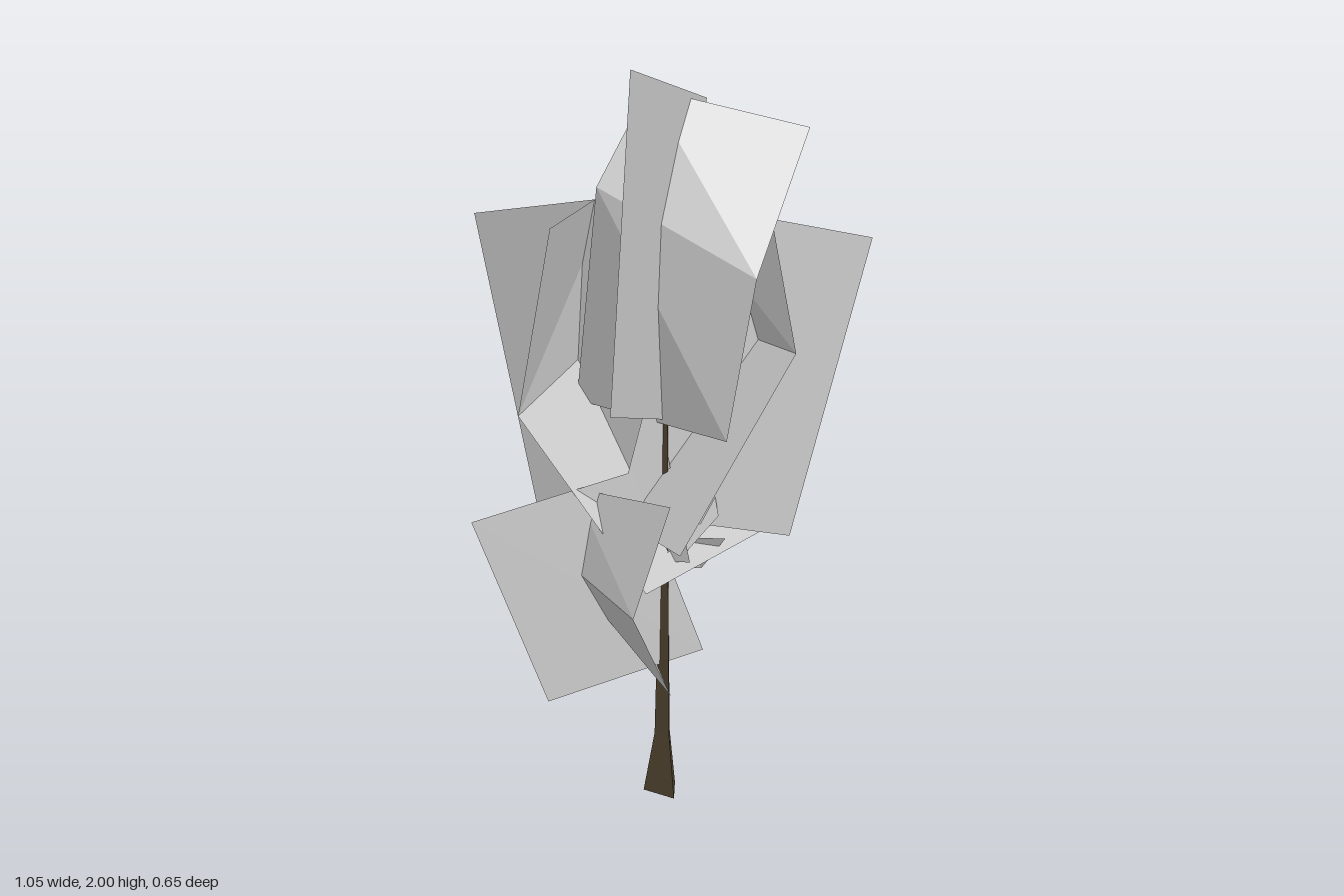
import * as THREE from 'three';

const leafMaterial = new THREE.MeshStandardMaterial({ color: 0xcccccc, flatShading: true, side: THREE.DoubleSide });
const barkMaterial = new THREE.MeshStandardMaterial({ color: 0x4d412f, flatShading: true });

// Strip of paired points (left, right) from top to bottom, joined by quads
function leafCard(name, rows) {
  const index = [];
  for (let i = 0; i < rows.length - 1; i++) {
    const a = i * 2;
    index.push(a, a + 2, a + 3, a, a + 3, a + 1);
  }
  const geometry = new THREE.BufferGeometry();
  geometry.setAttribute('position', new THREE.Float32BufferAttribute(rows.flat(2), 3));
  geometry.setIndex(index);
  geometry.computeVertexNormals();
  const mesh = new THREE.Mesh(geometry, leafMaterial);
  mesh.name = name;
  return mesh;
}

export function createModel() {
  const tree = new THREE.Group();
  tree.name = 'tree';

  // Flared, tapering three-sided trunk with one edge towards the front left
  const profile = [[0, 0], [0.055, 0], [0.026, 0.17], [0.017, 0.6], [0.01, 1.05], [0, 1.05]];
  const trunk = new THREE.Mesh(
    new THREE.LatheGeometry(profile.map(([r, y]) => new THREE.Vector2(r, y)), 3, Math.PI / 4),
    barkMaterial
  );
  trunk.name = 'trunk';
  trunk.position.x = 0.075;
  tree.add(trunk);

  // Flat upright foliage cards, their planes passing through the trunk
  tree.add(
    leafCard('flatLeafRight', [
      [[-0.53, 1.48, -0.25], [-0.08, 1.6, -0.065]],
      [[-0.3, 0.56, -0.155], [0.15, 0.68, 0.03]],
    ]),
    leafCard('flatLeafLeft', [
      [[0.14, 1.6, -0.047], [0.525, 1.48, -0.32]],
      [[-0.03, 0.81, 0.074], [0.355, 0.69, -0.2]],
    ]),
    leafCard('flatLeafLow', [
      [[-0.335, 0.84, 0.315], [0.005, 0.92, 0.053]],
      [[-0.18, 0.315, 0.196], [0.16, 0.395, -0.066]],
    ]),
    leafCard('flatLeafTop', [
      [[0.08, 2, 0.31], [0.135, 1.85, -0.14]],
      [[0.035, 1.16, 0.33], [0.09, 1.01, -0.12]],
    ])
  );

  // Folded foliage cards
  tree.add(
    leafCard('foldedLeafTop', [
      [[0.02, 1.89, -0.02], [0.405, 1.8, -0.11]],
      [[-0.08, 1.66, 0.08], [0.335, 1.47, 0.11]],
      [[-0.19, 1.05, -0.08], [0.26, 1.04, 0.09]],
    ]),
    leafCard('foldedLeafBack', [
      [[0, 1.58, -0.26], [0.335, 1.55, -0.05]],
      [[0.09, 1.22, -0.32], [0.405, 1.25, -0.02]],
      [[-0.12, 0.77, -0.05], [0.19, 0.79, 0.255]],
    ]),
    leafCard('foldedLeafRight', [
      [[-0.14, 1.58, -0.25], [-0.145, 1.59, 0.24]],
      [[-0.15, 1.2, -0.325], [-0.26, 1.08, 0.17]],
      [[0.26, 0.66, -0.29], [0.07, 0.63, 0.15]],
    ]),
    leafCard('foldedLeafLow', [
      [[-0.15, 0.86, 0.06], [0.16, 0.91, 0.24]],
      [[-0.24, 0.68, 0.03], [0.08, 0.62, 0.29]],
      [[-0.08, 0.38, -0.24], [0.14, 0.36, 0.16]],
    ])
  );

  // Small sprigs leaning out from the trunk
  tree.add(
    leafCard('upperSprig', [
      [[0.17, 0.87, -0.1], [0.2, 0.78, -0.06]],
      [[0.06, 0.64, 0.05], [0.09, 0.64, -0.02]],
    ]),
    leafCard('lowerSprig', [
      [[0.1, 0.72, -0.03], [0.2, 0.69, -0.13]],
      [[0.07, 0.64, 0], [0.13, 0.59, -0.15]],
    ])
  );
  return tree;
}
